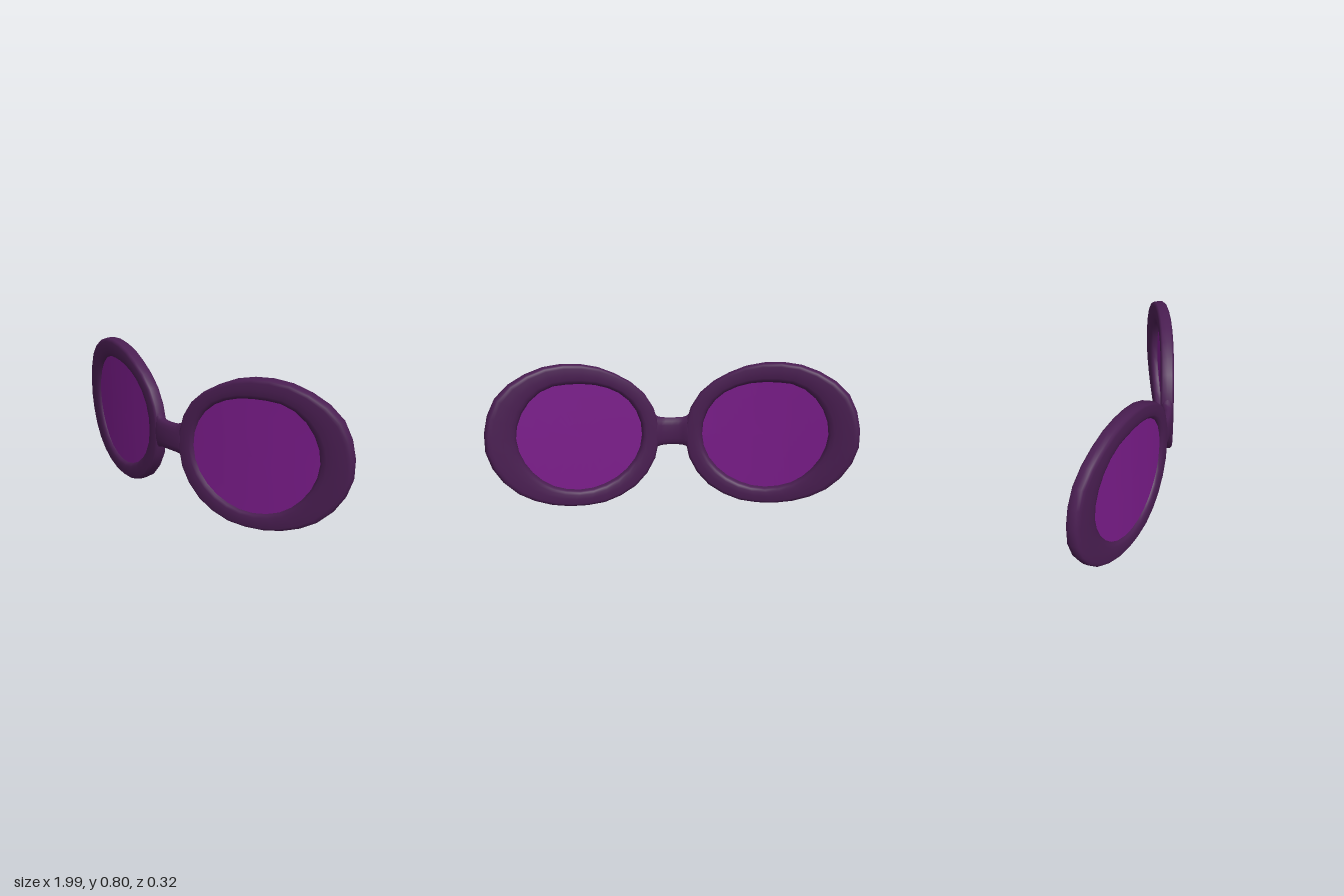
import * as THREE from 'three';

const frameMat = new THREE.MeshStandardMaterial({ color: 0x4a1e52 });
frameMat.name = 'dark plum frame';
const lensMat = new THREE.MeshStandardMaterial({ color: 0x7b1c8b });
lensMat.name = 'purple lens';

const SEGMENTS = 28;

// Rim outlines of the left eye, clockwise from the top
const OUTER = [
  [0.59, 0.8], [0.7, 0.786], [0.81, 0.742], [0.9, 0.68], [0.957, 0.6], [0.985, 0.5], [0.997, 0.41],
  [0.983, 0.32], [0.945, 0.23], [0.885, 0.15], [0.81, 0.088], [0.7, 0.036], [0.6, 0.01], [0.48, 0.001],
  [0.37, 0.012], [0.27, 0.052], [0.19, 0.107], [0.125, 0.19], [0.09, 0.27], [0.075, 0.385], [0.088, 0.49],
  [0.137, 0.592], [0.195, 0.658], [0.28, 0.715], [0.38, 0.765], [0.49, 0.793],
];
const INNER = [
  [0.57, 0.691], [0.66, 0.682], [0.74, 0.638], [0.802, 0.56], [0.836, 0.46], [0.833, 0.37], [0.797, 0.272],
  [0.725, 0.178], [0.635, 0.117], [0.5, 0.088], [0.4, 0.103], [0.3, 0.15], [0.222, 0.225], [0.182, 0.3],
  [0.168, 0.39], [0.182, 0.48], [0.232, 0.57], [0.31, 0.636], [0.41, 0.675], [0.49, 0.688],
];

function outline(points) {
  const curve = new THREE.CatmullRomCurve3(points.map(([x, y]) => new THREE.Vector3(x, y, 0)), true);
  return curve.getSpacedPoints(SEGMENTS).slice(0, SEGMENTS);
}

// Wrap a flat point around the face; depth is measured along the surface normal
function wrap(x, y, depth, side) {
  const z = 0.13 - 0.13 * x - 0.138 * x * x;
  const slope = 0.13 + 0.276 * x;
  const len = Math.hypot(slope, 1);
  // the blunt outer end stays within the overall width
  const px = x + (depth * slope) / len - 0.006 * x;
  return [side * px, y, z + depth / len];
}

// Skin a row of cross-sections
function loft(rings, closedRings, closedSection) {
  const n = rings.length, m = rings[0].length, index = [];
  for (let i = 0; i < (closedRings ? n : n - 1); i++) {
    for (let j = 0; j < (closedSection ? m : m - 1); j++) {
      const i2 = (i + 1) % n, j2 = (j + 1) % m;
      const a = i * m + j, b = i2 * m + j, c = i2 * m + j2, d = i * m + j2;
      index.push(a, d, b, b, d, c);
    }
  }
  const geo = new THREE.BufferGeometry();
  geo.setAttribute('position', new THREE.Float32BufferAttribute(rings.flat(2), 3));
  geo.setIndex(index);
  geo.computeVertexNormals();
  return geo;
}

// Rounded section, from +1 on the first axis towards +1 on the second;
// a lower power is blunter, set apart for the outer and inner half
function roundSection(count, outerPower, innerPower) {
  return Array.from({ length: count }, (_, k) => {
    const t = (k / count) * Math.PI * 2;
    const power = Math.cos(t) > 0 ? outerPower : innerPower;
    return [Math.cos(t), Math.sin(t)].map((v) => Math.sign(v) * Math.abs(v) ** power);
  });
}

function addMesh(group, name, geometry, material) {
  const mesh = new THREE.Mesh(geometry, material);
  mesh.name = name;
  group.add(mesh);
}

export function createModel() {
  const group = new THREE.Group();
  group.name = 'sunglasses';
  const outer = outline(OUTER), inner = outline(INNER);
  const centre = new THREE.Vector3(0.505, 0.39, 0);
  const rimSection = roundSection(16, 0.48, 0.68);
  const lensSection = [
    [1.02, 0.017], [0.75, 0.017], [0.5, 0.017], [0.25, 0.017], [0, 0.017],
    [0, 0.008], [0.25, 0.008], [0.5, 0.008], [0.75, 0.008], [1.02, 0.008],
  ];

  for (const [side, label] of [[1, 'left'], [-1, 'right']]) {
    // Rim: rounded band between the two outlines
    const rim = outer.map((o, i) => rimSection.map(([u, d]) => {
      const p = inner[i].clone().lerp(o, 0.5 + 0.5 * u);
      return wrap(p.x, p.y, 0.037 * d, side);
    }));
    // Lens: thin curved plate filling the opening
    const lens = inner.map((e) => lensSection.map(([r, d]) => {
      const p = centre.clone().lerp(e, r);
      return wrap(p.x, p.y, d, side);
    }));
    if (side < 0) {
      rim.reverse();
      lens.reverse();
    }
    addMesh(group, label + 'Rim', loft(rim, true, true), frameMat);
    addMesh(group, label + 'Lens', loft(lens, true, false), lensMat);
  }

  // Bridge: x, bottom, top, back, front of each section, mirrored
  const half = [
    [0, 0.315, 0.47, 0.103, 0.161], [0.035, 0.314, 0.471, 0.102, 0.159], [0.06, 0.312, 0.474, 0.094, 0.157],
    [0.08, 0.307, 0.482, 0.083, 0.154], [0.1, 0.288, 0.502, 0.08, 0.15], [0.125, 0.265, 0.52, 0.09, 0.137],
  ];
  const stations = [...half.slice(1).reverse().map(([x, ...rest]) => [-x, ...rest]), ...half];
  const bridge = stations.map(([x, y0, y1, z0, z1]) => roundSection(16, 0.75, 0.75).map(([u, d]) =>
    [x, (y0 + y1) / 2 + ((y1 - y0) / 2) * u, (z0 + z1) / 2 + ((z1 - z0) / 2) * d]));
  addMesh(group, 'bridge', loft(bridge, false, true), frameMat);

  return group;
}
